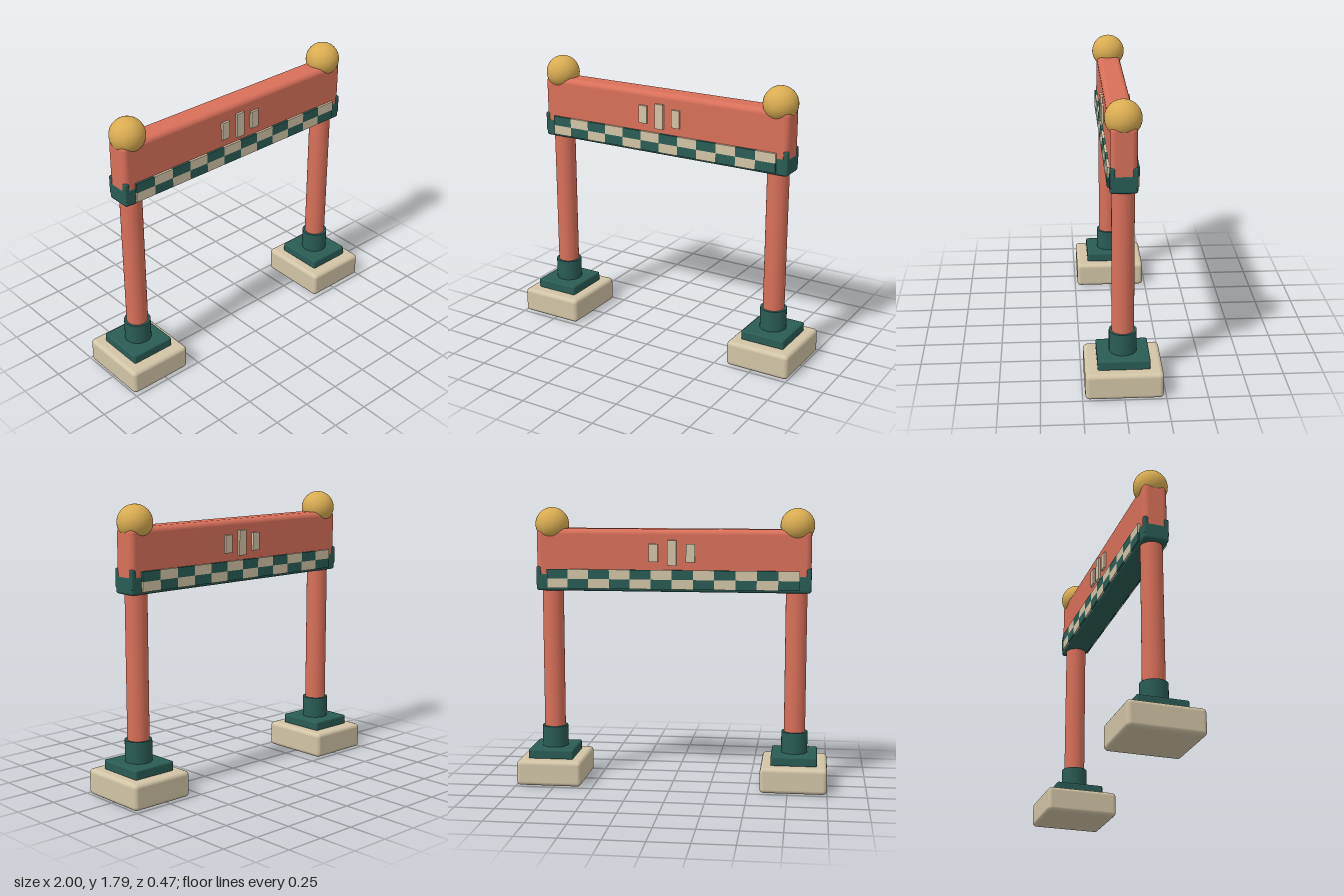
import * as THREE from 'three';
import { RoundedBoxGeometry } from 'three/addons/geometries/RoundedBoxGeometry.js';

const material = (name, color) => {
  const m = new THREE.MeshStandardMaterial({ color });
  m.name = name;
  return m;
};

export function createModel() {
  const coral = material('coral paint', 0xd9705a);
  const green = material('dark green paint', 0x2a5c55);
  const cream = material('cream stone', 0xd2c4a6);
  const gold = material('gold', 0xd9ac52);

  const model = new THREE.Group();
  model.name = 'archGate';

  const add = (parent, name, geometry, mat, x, y, z) => {
    const mesh = new THREE.Mesh(geometry, mat);
    mesh.name = name;
    mesh.position.set(x, y, z);
    parent.add(mesh);
    return mesh;
  };
  // Rounded block given by its bottom and top heights
  const block = (parent, name, mat, w, y0, y1, d, r, x = 0, z = 0) =>
    add(parent, name, new RoundedBoxGeometry(w, y1 - y0, d, 3, r), mat, x, (y0 + y1) / 2, z);
  const pole = (parent, name, mat, r, y0, y1) =>
    add(parent, name, new THREE.CylinderGeometry(r, r, y1 - y0, 32), mat, 0, (y0 + y1) / 2, 0);

  // Posts with stepped feet and ball finials
  for (const side of [-1, 1]) {
    const post = new THREE.Group();
    post.name = side > 0 ? 'leftPost' : 'rightPost';
    post.position.x = side * 0.787;
    block(post, 'foot', cream, 0.424, 0, 0.164, 0.468, 0.026);
    block(post, 'basePlate', green, 0.294, 0.16, 0.224, 0.316, 0.012);
    pole(post, 'collar', green, 0.084, 0.22, 0.36);
    pole(post, 'column', coral, 0.068, 0.35, 1.27);
    add(post, 'finial', new THREE.SphereGeometry(0.108, 32, 20), gold, 0, 1.68, 0);
    model.add(post);
  }

  // Crossbeam on a green lower rail
  block(model, 'beam', coral, 1.756, 1.3, 1.655, 0.156, 0.035);
  block(model, 'lowerRail', green, 1.76, 1.257, 1.372, 0.162, 0.018);
  for (const x of [-1, 1]) {
    for (const z of [-1, 1]) {
      block(model, 'railCorner', green, 0.032, 1.29, 1.412, 0.032, 0.01, x * 0.864, z * 0.065);
    }
  }

  // Checkered band and three bars, repeated on the back by a half turn
  const columns = 12, tileW = 1.614 / columns, tileH = 0.061;
  const tile = new THREE.BoxGeometry(tileW, tileH, 0.02);
  for (const face of ['front', 'back']) {
    const panel = new THREE.Group();
    panel.name = face + 'Panel';
    if (face === 'back') panel.rotation.y = Math.PI;
    for (let row = 0; row < 2; row++) {
      for (let c = 0; c < columns; c++) {
        const pale = (row + c) % 2 === 0;
        add(panel, pale ? 'creamTile' : 'greenTile', tile, pale ? cream : green,
          (c - (columns - 1) / 2) * tileW, 1.275 + (row + 0.5) * tileH, 0.083);
      }
    }
    for (const i of [-1, 0, 1]) {
      const h = i === 0 ? 0.16 : 0.114;
      add(panel, 'bar', new THREE.BoxGeometry(0.057, h, 0.02), cream, i * 0.118, 1.506, 0.083);
    }
    model.add(panel);
  }

  return model;
}
